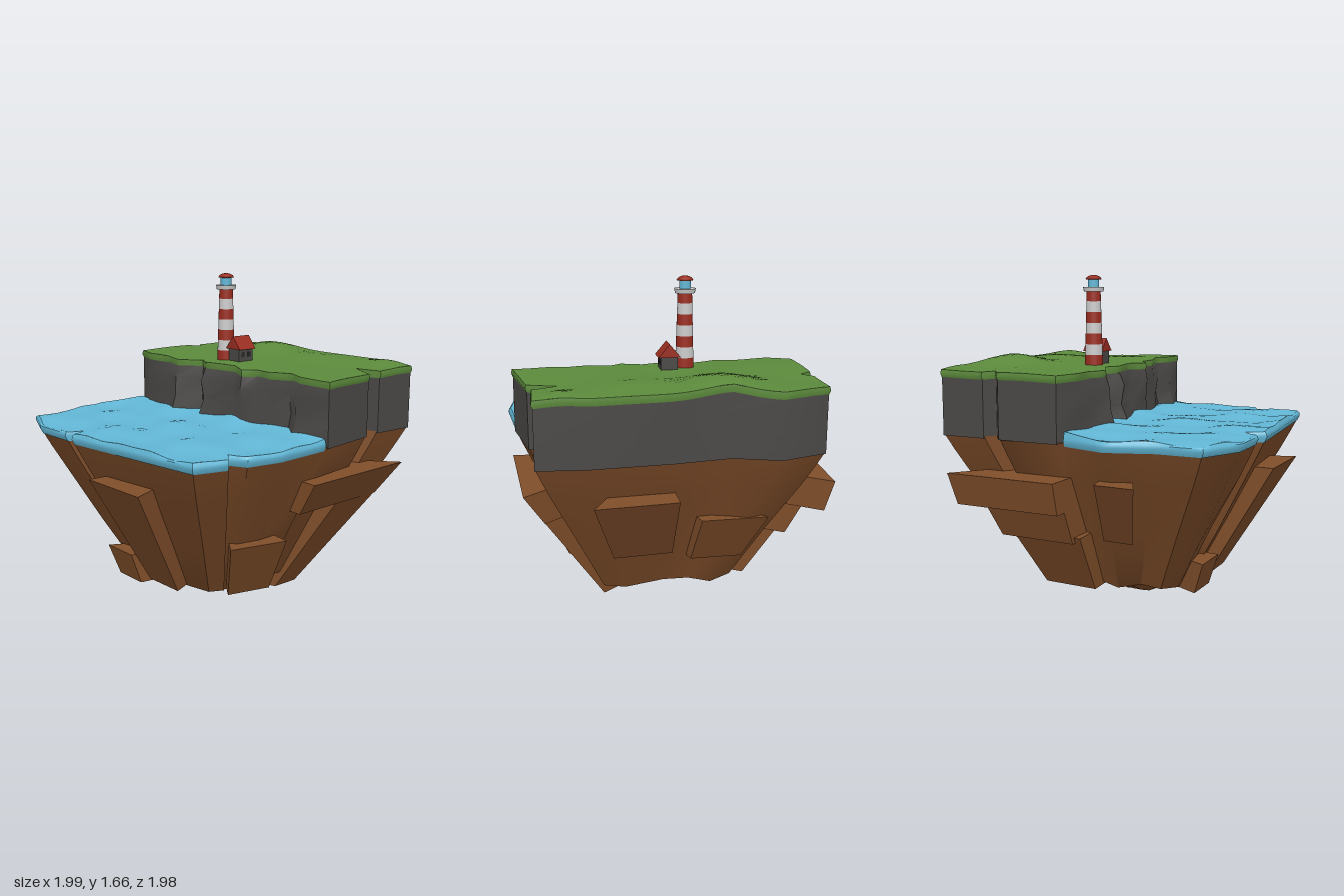
import * as THREE from 'three';
import { mergeVertices, toCreasedNormals } from 'three/addons/utils/BufferGeometryUtils.js';
import { ConvexGeometry } from 'three/addons/geometries/ConvexGeometry.js';

const mat = (color) => new THREE.MeshStandardMaterial({ color, side: THREE.DoubleSide });
const GREEN = mat(0x5c8a3c), STONE = mat(0x4a4846), BROWN = mat(0x804e2a), BLUE = mat(0x62b7d6);
const RED = mat(0x9a2d20), WHITE = mat(0xd8d8d8), DARK = mat(0x2a2a2c);

// Plan outlines as [x, z], clockwise from above
const landOuter = [[-0.5, -0.53], [-0.27, -0.76], [-0.19, -0.75], [-0.2, -0.82], [-0.03, -0.99], [0.19, -0.88],
  [0.3, -0.67], [0.53, -0.5], [0.84, -0.23], [0.99, -0.05], [0.82, 0.11], [0.7, 0.05], [0.76, 0.2], [0.56, 0.485]];
const coast = [[0.42, 0.36], [0.38, 0.28], [0.26, 0.22], [0.2, 0.14], [0.12, 0.13], [0.08, 0.02],
  [-0.09, -0.09], [-0.11, -0.17], [-0.25, -0.21], [-0.32, -0.32], [-0.44, -0.41]];
const waterOuter = [[0.55, 0.49], [0.35, 0.73], [0.2, 0.84], [0.11, 0.81], [0.12, 0.9], [-0.03, 0.99],
  [-0.69, 0.46], [-0.66, 0.37], [-0.74, 0.39], [-0.91, 0.23], [-1, 0], [-0.84, -0.16], [-0.73, -0.38], [-0.51, -0.5]];

// Gentle relief of the meadow, and a sea that swells against the cliff
const bump = (x, z, cx, cz, r) => Math.exp(-((x - cx) ** 2 + (z - cz) ** 2) / (r * r));
const grassY = (x, z) => 1.195 + 0.055 * bump(x, z, 0.22, -0.57, 0.17) + 0.025 * bump(x, z, 0.5, -0.25, 0.2)
  + 0.02 * bump(x, z, 0.85, -0.1, 0.1) + 0.005 * Math.sin(9 * x + 4) * Math.sin(8 * z);
const waterY = (x, z) => 0.913 + 0.009 * Math.sin(11 * x + 3 * z) * Math.cos(10 * z - 4 * x)
  + 0.006 * Math.sin(19 * x - 4 * z) * Math.sin(15 * z + 6 * x) + 0.02 * Math.exp(-(((z - 0.95 * x + 0.06) / 0.15) ** 2));

function geometryFrom(points, index) {
  const g = new THREE.BufferGeometry();
  g.setAttribute('position', new THREE.Float32BufferAttribute(points.flat(), 3));
  if (index) g.setIndex(index);
  return g;
}

// Split every edge of an outline into short steps
function densify(outline, step = 0.06) {
  return outline.flatMap((a, i) => {
    const b = outline[(i + 1) % outline.length];
    const n = Math.ceil(Math.hypot(b[0] - a[0], b[1] - a[1]) / step);
    return Array.from({ length: n }, (_, k) => [a[0] + (b[0] - a[0]) * k / n, a[1] + (b[1] - a[1]) * k / n]);
  });
}

// Walls between closed rings listed from top to bottom
function loft(rings, crease) {
  const n = rings[0].length, index = [];
  for (let r = 0; r < rings.length - 1; r++) {
    for (let i = 0; i < n; i++) {
      const a = r * n + i, b = r * n + (i + 1) % n;
      index.push(a, b, b + n, a, b + n, a + n);
    }
  }
  return toCreasedNormals(geometryFrom(rings.flat(), index), crease);
}

// Finely divided lid over an outline, raised by a height rule
function lid(outline, height) {
  const pts = outline.map(([x, z]) => new THREE.Vector2(x, z));
  let tris = THREE.ShapeUtils.triangulateShape(pts, []).map((t) => {
    const [a, b, c] = t.map((i) => pts[i]);
    const up = (b.y - a.y) * (c.x - a.x) - (b.x - a.x) * (c.y - a.y) > 0;
    return up ? [a, b, c] : [a, c, b];
  });
  for (let k = 0; k < 4; k++) {
    tris = tris.flatMap(([a, b, c]) => {
      const [ab, bc, ca] = [[a, b], [b, c], [c, a]].map(([p, q]) => p.clone().add(q).multiplyScalar(0.5));
      return [[a, ab, ca], [ab, b, bc], [ca, bc, c], [ab, bc, ca]];
    });
  }
  const g = mergeVertices(geometryFrom(tris.flat().map((p) => [p.x, height(p.x, p.y), p.y])), 1e-4);
  g.computeVertexNormals();
  return g;
}

function add(parent, name, geometry, material, x = 0, y = 0, z = 0) {
  const m = new THREE.Mesh(geometry, material);
  m.name = name;
  m.position.set(x, y, z);
  parent.add(m);
  return m;
}

// Rock slab leaning with the cliff: outer top edge a-b, tapering to the lower end
function rockSlab(a, b, top, bottom, taper) {
  const pts = [];
  for (const [x, z] of [a, b]) {
    for (const [y, s] of [[top, 1], [bottom, taper]]) {
      pts.push(new THREE.Vector3(x * s, y, z * s), new THREE.Vector3(x * s * 0.6, y, z * s * 0.6));
    }
  }
  return new ConvexGeometry(pts);
}

function buildLighthouse() {
  const g = new THREE.Group();
  g.name = 'lighthouse';
  const bands = 7, h = 0.055, radius = (i) => 0.047 - 0.0016 * i;
  for (let i = 0; i < bands; i++) {
    add(g, 'towerBand', new THREE.CylinderGeometry(radius(i + 1), radius(i), h, 24, 1, true),
      i % 2 ? WHITE : RED, 0, (i + 0.5) * h, 0);
  }
  add(g, 'gallery', new THREE.CylinderGeometry(0.054, 0.05, 0.022, 24), WHITE, 0, 0.39, 0);
  add(g, 'lantern', new THREE.CylinderGeometry(0.029, 0.029, 0.05, 16), BLUE, 0, 0.422, 0);
  const dome = [[0.03, 0], [0.042, 0.002], [0.036, 0.012], [0.02, 0.021], [0, 0.024]];
  add(g, 'lanternRoof', new THREE.LatheGeometry(dome.map((p) => new THREE.Vector2(...p)), 20), RED, 0, 0.44, 0);
  g.position.set(0.012, 1.195, -0.195);
  return g;
}

function buildHouse() {
  const g = new THREE.Group();
  g.name = 'house';
  add(g, 'walls', new THREE.BoxGeometry(0.095, 0.09, 0.085), STONE, 0, 0.03, 0);
  const gable = new THREE.Shape([[-0.057, 0], [0.057, 0], [0, 0.068]].map((p) => new THREE.Vector2(...p)));
  const roof = new THREE.ExtrudeGeometry(gable, { depth: 0.11, bevelEnabled: false });
  roof.translate(0, 0, -0.055);
  add(g, 'roof', roof, RED, 0, 0.066, 0).rotation.y = Math.PI / 2;
  for (const x of [-0.022, 0.022]) add(g, 'window', new THREE.BoxGeometry(0.022, 0.026, 0.006), DARK, x, 0.038, 0.042);
  g.position.set(0.095, 1.197, -0.152);
  g.rotation.y = Math.PI / 4;
  return g;
}

export function createModel() {
  const island = new THREE.Group();
  island.name = 'floatingIsland';

  // Meadow with a thin turf rim
  const land = [...landOuter, ...coast], landEdge = densify(land);
  add(island, 'grassTop', lid(land, grassY), GREEN);
  const rim = (drop, s) => landEdge.map(([x, z]) => [0.25 + (x - 0.25) * s, grassY(x, z) - drop, -0.25 + (z + 0.25) * s]);
  add(island, 'grassRim', loft([rim(0, 1), rim(0.02, 1.006), rim(0.037, 0.997)], 0.9), GREEN);

  // Stone cliff, roughened along the coast
  const cliffRing = (y, rough, phase = 0) => land.map(([x, z], i) => {
    const k = i >= landOuter.length ? rough * (1 + 0.8 * Math.sin(i * 2.3 + phase)) * 0.7 : 0;
    return [0.25 + (x - 0.25) * 0.995 - k, y ?? grassY(x, z) - 0.03, -0.25 + (z + 0.25) * 0.995 + k];
  });
  add(island, 'stoneCliff', loft([cliffRing(null, 0), cliffRing(1.1, 0.018), cliffRing(1.0, 0.014, 1.2),
    cliffRing(0.93, 0.03, 0.5), cliffRing(0.87, 0.03, 0.5)], 0.8), STONE);

  // Sea with a rounded edge
  const inset = 0.985, sea = [...waterOuter, ...coast.slice().reverse()], seaEdge = densify(sea);
  add(island, 'seaSurface', lid(sea.map(([x, z]) => [x * inset, z * inset]), waterY), BLUE);
  const shore = (y, s) => seaEdge.map(([x, z]) => [x * s, y ?? waterY(x * s, z * s), z * s]);
  add(island, 'seaEdge', loft([shore(null, inset), shore(0.9, 0.998), shore(0.885, 1), shore(0.86, 0.985)], 0.9), BLUE);

  // Tapering earth underside with an uneven foot
  const outline = [...landOuter, ...waterOuter];
  const earthRing = (y, s, wobble = 0, shift = 0) => outline.map(([x, z], i) => {
    const k = s * (1 + wobble * 0.6 * Math.sin(i * 1.7));
    return [x * k - shift, y + wobble * Math.sin(i * 2.1), z * k + shift];
  });
  add(island, 'earthBase', loft([earthRing(0.88, 0.993), earthRing(0.8, 0.945), earthRing(0.7, 0.88), earthRing(0.4, 0.67, 0.015),
    earthRing(0.112, 0.475, 0.012), earthRing(0.09, 0.3, 0.012, 0.03), earthRing(0, 0.09, 0, 0.055),
    earthRing(0, 0.001, 0, 0.055)], 0.85), BROWN);

  // Rock slabs leaning out of the earth: outer edge, top, bottom, taper
  const slabs = [
    [[0.95, 0.06], [0.5, 0.56], 0.71, 0.54, 0.86],
    [[0.94, 0.07], [0.71, 0.31], 0.705, 0.03, 0.43],
    [[0.86, -0.29], [0.55, -0.55], 0.7, 0.36, 0.72],
    [[0.32, -0.52], [0.08, -0.75], 0.53, 0.28, 0.78],
    [[-0.14, -0.99], [-0.57, -0.57], 0.7, 0.54, 0.95],
    [[-0.16, -0.82], [-0.5, -0.5], 0.56, 0.37, 0.88],
    [[-0.16, -0.68], [-0.46, -0.41], 0.4, 0.1, 0.72],
    [[-0.7, -0.41], [-0.85, -0.27], 0.71, 0.4, 0.76],
    [[-0.59, 0.55], [-0.3, 0.83], 0.71, 0.12, 0.57],
    [[0.11, 0.66], [0.37, 0.5], 0.41, 0.12, 0.76],
    [[-0.58, 0.18], [-0.43, 0.33], 0.25, 0.09, 0.9],
  ];
  for (const s of slabs) add(island, 'rockSlab', rockSlab(...s), BROWN);

  island.add(buildLighthouse(), buildHouse());
  return island;
}
